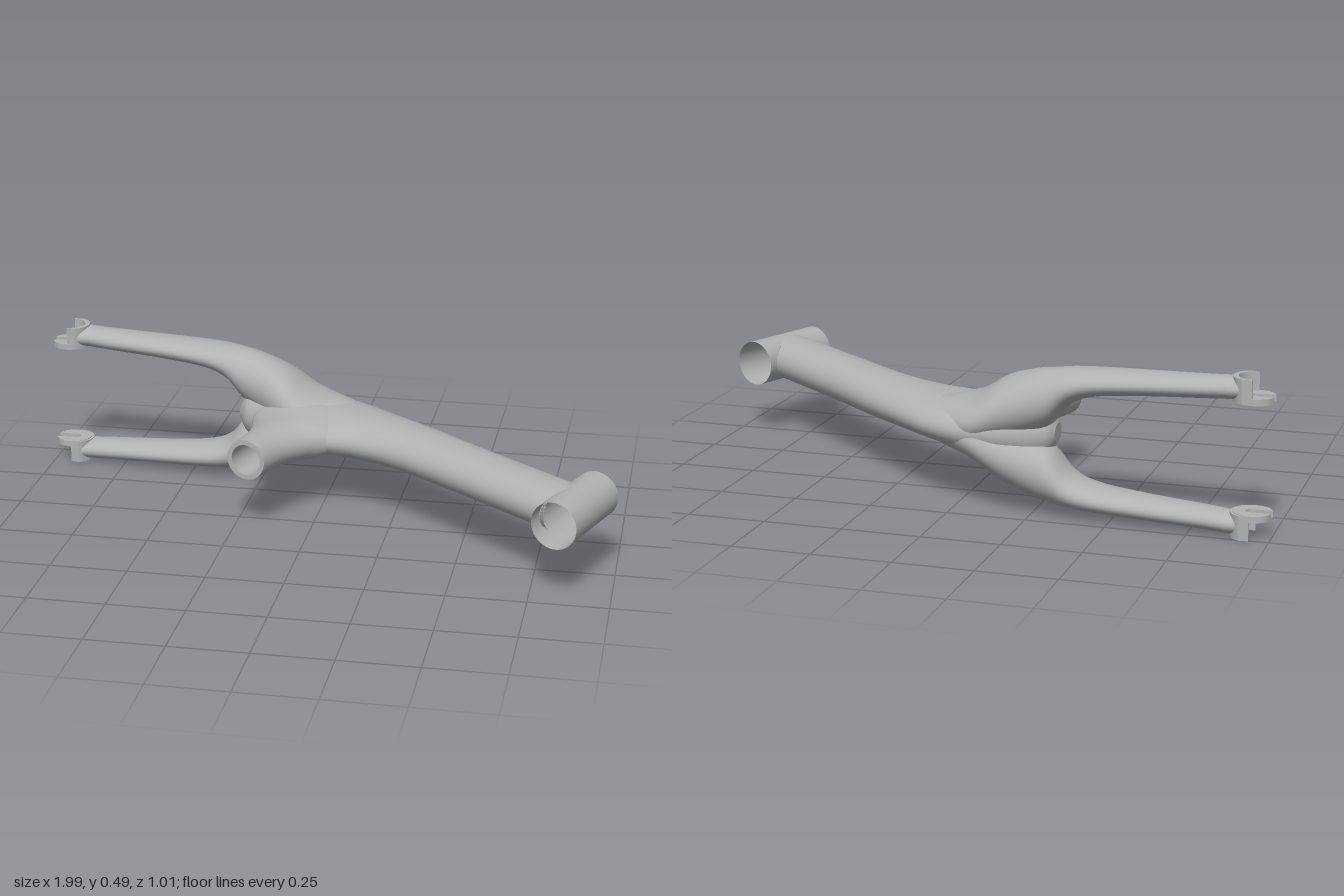
import * as THREE from 'three';

const MID = 0.245; // height of the symmetry plane
const grey = new THREE.MeshStandardMaterial({ color: 0xb2b2b2, side: THREE.DoubleSide });
grey.name = 'bare metal grey';

function part(name, geometry, parent) {
  const mesh = new THREE.Mesh(geometry, grey);
  mesh.name = name;
  parent.add(mesh);
  return mesh;
}

// Smooth tube through elliptical sections [ax, az, bx, bz, yCentre, yHalf];
// trimEnd(vertex, endIndex) may reshape the first or last ring.
function loft(sections, { steps = 8, sides = 40, cap = true, trimFirst, trimLast } = {}) {
  const curve = (f) => new THREE.CatmullRomCurve3(sections.map(f), false, 'catmullrom', 0.5);
  const edgeA = curve((s) => new THREE.Vector3(s[0], s[4], s[1]));
  const edgeB = curve((s) => new THREE.Vector3(s[2], s[4], s[3]));
  const height = curve((s) => new THREE.Vector3(s[5], 0, 0));
  const n = (sections.length - 1) * steps;
  const pos = [], idx = [];
  for (let i = 0; i <= n; i++) {
    const a = edgeA.getPoint(i / n), b = edgeB.getPoint(i / n), h = height.getPoint(i / n).x;
    const centre = a.clone().add(b).multiplyScalar(0.5);
    const half = b.clone().sub(a).multiplyScalar(0.5);
    for (let j = 0; j < sides; j++) {
      const t = (j / sides) * Math.PI * 2;
      const v = centre.clone().addScaledVector(half, Math.cos(t));
      v.y += Math.sin(t) * h;
      if (i === 0 && trimFirst) trimFirst(v);
      if (i === n && trimLast) trimLast(v);
      pos.push(v.x, v.y, v.z);
      if (i < n) {
        const k = (j + 1) % sides, p = i * sides, q = p + sides;
        idx.push(p + j, p + k, q + j, p + k, q + k, q + j);
      }
    }
  }
  if (cap) { // closing fan with its own vertices for a crisp edge
    const first = pos.length / 3, ring = pos.slice(-sides * 3), c = [0, 0, 0];
    ring.forEach((value, i) => { c[i % 3] += value / sides; });
    pos.push(...ring, ...c);
    for (let j = 0; j < sides; j++) idx.push(first + j, first + (j + 1) % sides, first + sides);
  }
  const g = new THREE.BufferGeometry();
  g.setAttribute('position', new THREE.Float32BufferAttribute(pos, 3));
  g.setIndex(idx);
  g.computeVertexNormals();
  return g;
}

// Flat shape drawn in x and -z, extruded upward from height y
function slab(shape, y, depth) {
  const g = new THREE.ExtrudeGeometry(shape, { depth, bevelEnabled: false, curveSegments: 24 });
  g.rotateX(-Math.PI / 2);
  g.translate(0, y, 0);
  return g;
}

export function createModel() {
  const model = new THREE.Group();
  model.name = 'bicycleFrame';

  // Open head tube
  const headRadius = 0.075;
  const head = part('headTube', new THREE.CylinderGeometry(headRadius, headRadius, 0.303, 48, 1, true), model);
  head.position.set(0.873, MID, 0.335);
  head.quaternion.setFromUnitVectors(new THREE.Vector3(0, 1, 0), new THREE.Vector3(-0.35, 0, 0.937).normalize());

  // Main tube, mitred onto the head tube and swelling into the hub
  const mitre = (v) => {
    const dy = v.y - MID;
    const d = Math.sqrt(Math.max(0, headRadius ** 2 - dy * dy)) / 0.952;
    v.x -= 0.78 * d;
    v.z -= 0.626 * d;
  };
  part('mainTube', loft([
    [0.905, 0.243, 0.83, 0.45, MID, 0.073],
    [0.6, 0.0, 0.47, 0.16, MID, 0.073],
    [0.4, -0.175, 0.25, 0.0, MID, 0.073],
    [0.25, -0.3, 0.1, -0.065, MID, 0.073],
    [0.12, -0.405, 0.0, -0.08, MID, 0.075],
    [0.0, -0.465, -0.1, -0.14, MID, 0.082],
    [-0.12, -0.475, -0.19, -0.2, MID, 0.09],
    [-0.22, -0.46, -0.25, -0.25, MID, 0.09],
    [-0.29, -0.43, -0.29, -0.28, MID, 0.07],
    [-0.315, -0.4, -0.315, -0.32, MID, 0.03],
  ], { trimFirst: mitre }), model);

  // Seat tube flaring into the hub
  part('seatTube', loft([
    [-0.139, 0.128, -0.267, 0.09, MID, 0.067],
    [-0.085, 0.025, -0.247, -0.02, MID, 0.067],
    [-0.02, -0.048, -0.24, -0.1, MID, 0.069],
    [0.06, -0.1, -0.245, -0.18, MID, 0.073],
    [0.1, -0.2, -0.26, -0.26, MID, 0.085],
    [0.06, -0.34, -0.27, -0.34, MID, 0.09],
  ], { cap: false }), model);

  // Seat tube mouth: rim and bore
  const mouth = new THREE.Group();
  mouth.name = 'seatTubeMouth';
  mouth.position.set(-0.203, MID, 0.109);
  mouth.rotation.y = Math.atan2(-0.285, 0.958);
  part('seatTubeRim', new THREE.RingGeometry(0.051, 0.067, 40), mouth);
  const bore = new THREE.CylinderGeometry(0.051, 0.051, 0.22, 40, 1, true);
  bore.rotateX(Math.PI / 2);
  bore.translate(0, 0, -0.11);
  part('seatTubeBore', bore, mouth);
  model.add(mouth);

  // Rear arms: [x, zBack, zFront, inner height, outer height]
  const arm = [
    [0.08, -0.4, -0.2, 0.18, 0.316],
    [-0.05, -0.475, -0.17, 0.19, 0.35],
    [-0.15, -0.485, -0.2, 0.215, 0.41],
    [-0.25, -0.486, -0.265, 0.25, 0.445],
    [-0.31, -0.487, -0.295, 0.285, 0.456],
    [-0.37, -0.488, -0.308, 0.352, 0.464],
    [-0.45, -0.489, -0.322, 0.384, 0.469],
    [-0.6, -0.491, -0.347, 0.4, 0.475],
    [-0.8, -0.496, -0.376, 0.412, 0.482],
    [-0.87, -0.5, -0.388, 0.417, 0.486],
  ];
  const axleX = -0.94, axleZ = -0.445;
  const scoop = (v) => {
    v.x = axleX + Math.sqrt(Math.max(0, 0.062 ** 2 - (v.z - axleZ) ** 2));
  };

  // Dropout plate with an open axle slot
  const plate = new THREE.Shape();
  plate.moveTo(-1.0, -axleZ - 0.016);
  plate.absarc(axleX, -axleZ, 0.06, Math.PI + 0.27, 3 * Math.PI - 0.27, false);
  plate.lineTo(-0.935, -axleZ + 0.016);
  plate.absarc(-0.935, -axleZ, 0.016, Math.PI / 2, -Math.PI / 2, true);
  plate.closePath();

  // Curved collar around the axle seat
  const collar = new THREE.Shape();
  collar.moveTo(axleX, -axleZ - 0.06);
  collar.absarc(axleX, -axleZ, 0.068, -1.1, 1.1, false);
  collar.lineTo(axleX, -axleZ + 0.06);
  collar.absarc(axleX, -axleZ, 0.052, Math.PI / 2, -Math.PI / 2, true);
  collar.closePath();

  for (const side of [1, -1]) {
    const group = new THREE.Group();
    group.name = side > 0 ? 'upperRearArm' : 'lowerRearArm';
    const sections = arm.map(([x, z0, z1, yIn, yOut]) =>
      [x, z0, x, z1, MID + side * ((yIn + yOut) / 2 - MID), (yOut - yIn) / 2]);
    part('armTube', loft(sections, { trimLast: scoop }), group);
    const place = (low, high) => (side > 0 ? low : 2 * MID - high);
    part('dropoutPlate', slab(plate, place(0.413, 0.433), 0.02), group);
    part('dropoutCollar', slab(collar, place(0.415, 0.49), 0.075), group);
    model.add(group);
  }
  return model;
}
